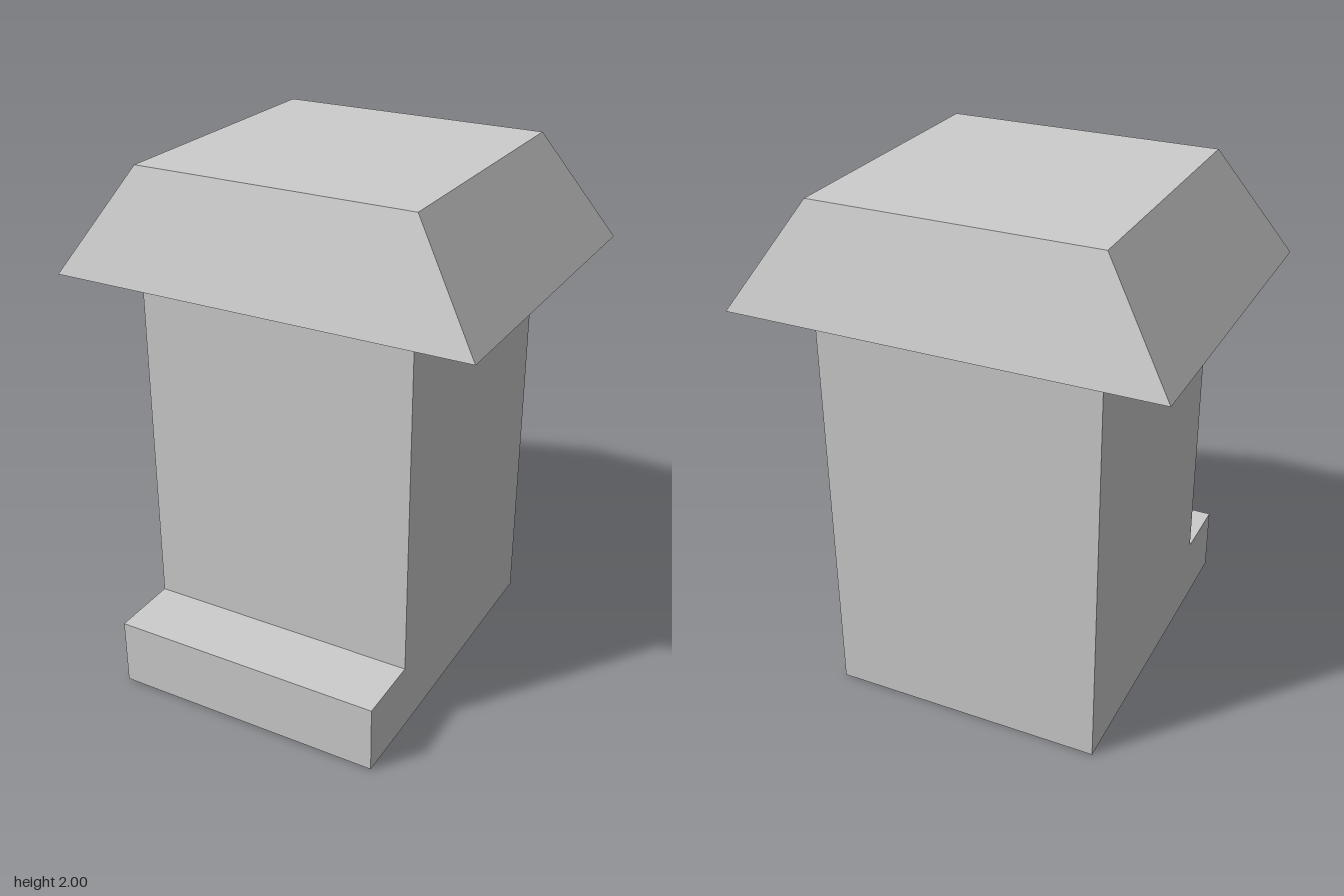
import * as THREE from 'three';

export function createModel() {
  const group = new THREE.Group();
  const grey = new THREE.MeshStandardMaterial({ color: 0xcccccc });
  grey.name = 'light grey';

  const add = (name, geometry) => {
    const mesh = new THREE.Mesh(geometry, grey);
    mesh.name = name;
    group.add(mesh);
    return mesh;
  };

  // Body with front step: one L-shaped side profile (z, y) extruded across x
  const halfWidth = 0.533;
  const profile = new THREE.Shape([
    [-0.6, 0], [0.467, 0], [0.733, 0.004], [0.733, 0.267], [0.467, 0.267], [0.467, 1.6], [-0.6, 1.6],
  ].map(([z, y]) => new THREE.Vector2(z, y)));
  const body = new THREE.ExtrudeGeometry(profile, { depth: 2 * halfWidth, bevelEnabled: false });
  body.translate(0, 0, -halfWidth).rotateY(-Math.PI / 2);
  add('bodyWithStep', body);

  // Roof: a box whose upper corners are drawn in to form the hipped slopes
  const roof = new THREE.BoxGeometry(1.6, 0.4, 1.333);
  const pos = roof.attributes.position;
  for (let i = 0; i < pos.count; i++) {
    if (pos.getY(i) > 0) {
      pos.setX(i, Math.sign(pos.getX(i)) * halfWidth);
      pos.setZ(i, Math.sign(pos.getZ(i)) * 0.5333);
    }
  }
  roof.computeVertexNormals();
  add('roof', roof).position.set(0, 1.8, -0.0667);

  return group;
}
